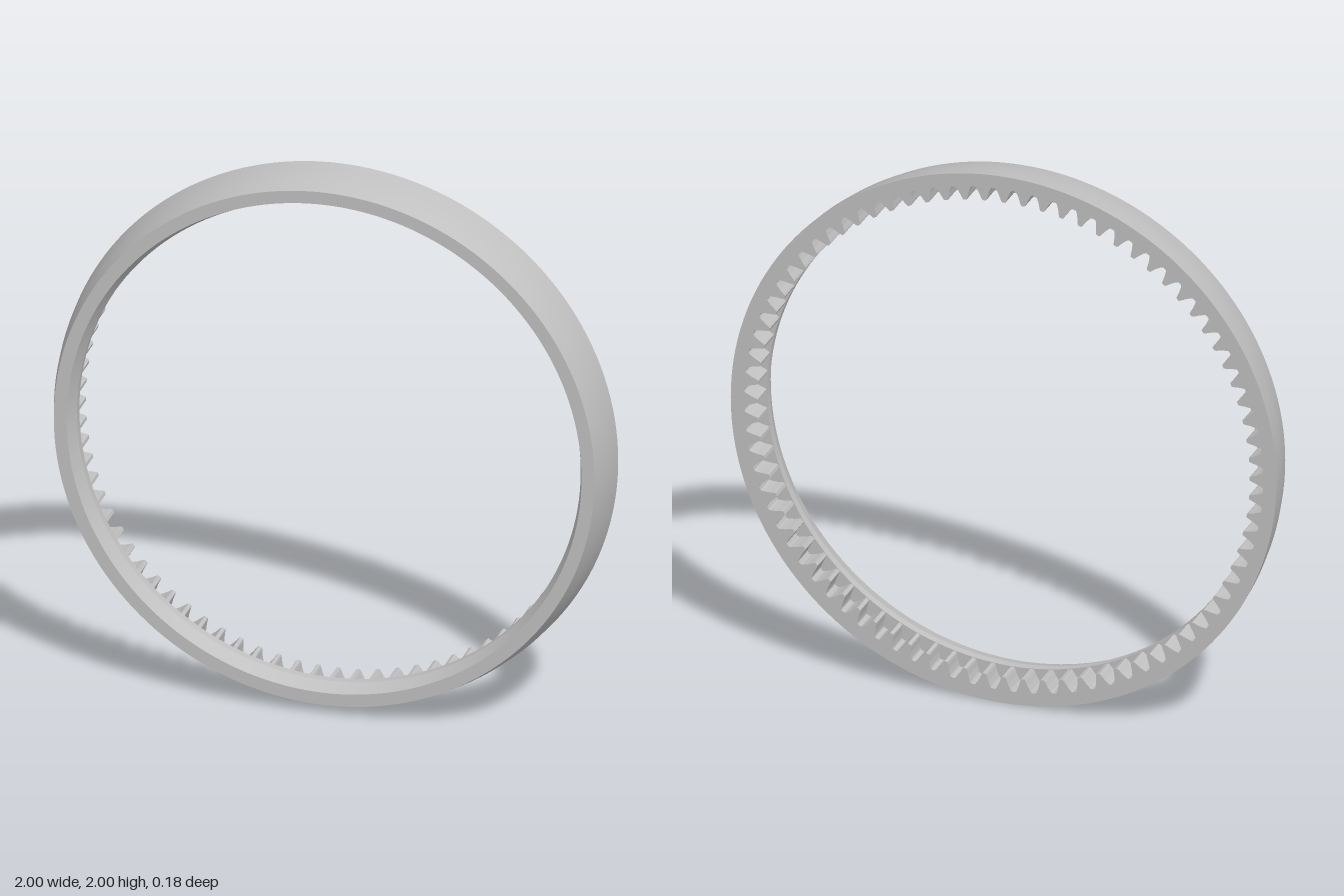
import * as THREE from 'three';

const TEETH = 80, SEGMENTS = 160;
const BACK = -0.09, FRONT = 0.09, LIP = 0;
const SEAM = 0.96, ROOT = 0.952, TIP = 0.902;

export function createModel() {
  const steel = new THREE.MeshStandardMaterial({ color: 0xc0c0c0 });
  steel.name = 'steel grey';
  const model = new THREE.Group();
  model.name = 'ringGear';

  function add(name, geometry) {
    const mesh = new THREE.Mesh(geometry, steel);
    mesh.name = name;
    mesh.position.y = 1;
    model.add(mesh);
  }

  // Turned surface about the z axis, from [radius, z] pairs
  function turned(name, profile) {
    const points = profile.map(([r, z]) => new THREE.Vector2(r, z));
    add(name, new THREE.LatheGeometry(points, SEGMENTS).rotateX(Math.PI / 2));
  }

  // Ring body, one surface per sharp edge; the outer wall bulges slightly
  turned('backFace', [[SEAM, BACK], [1, BACK]]);
  turned('outerWall', [[1, BACK], [0.994, -0.03], [0.983, 0.03], [0.966, FRONT]]);
  turned('frontFace', [[0.966, FRONT], [0.92, FRONT]]);
  turned('innerChamfer', [[0.92, FRONT], [0.9, 0.03]]);
  turned('innerLip', [[0.9, 0.03], [0.9, LIP]]);
  turned('lipBackFace', [[0.9, LIP], [SEAM, LIP]]);

  // Internal teeth: a ring whose hole follows the tooth outline
  const at = (r, a) => new THREE.Vector2(r * Math.cos(a), r * Math.sin(a));
  const rim = [];
  for (let i = 0; i < SEGMENTS; i++) rim.push(at(SEAM, (i / SEGMENTS) * Math.PI * 2));

  // Half a tooth as [radius, share of the pitch from the tooth centre]
  const flank = [[TIP, 0.09], [TIP + 0.007, 0.14], [0.928, 0.23], [ROOT - 0.005, 0.35], [ROOT, 0.41]];
  const tooth = [...flank.map(([r, s]) => [r, -s]).reverse(), ...flank];
  const outline = [];
  for (let i = 0; i < TEETH; i++) {
    for (const [r, s] of tooth) outline.push(at(r, ((i + s) / TEETH) * Math.PI * 2));
  }
  const shape = new THREE.Shape(rim);
  shape.holes.push(new THREE.Path(outline));
  const teeth = new THREE.ExtrudeGeometry(shape, { depth: LIP - BACK, bevelEnabled: false });
  add('teeth', teeth.translate(0, 0, BACK));

  return model;
}
